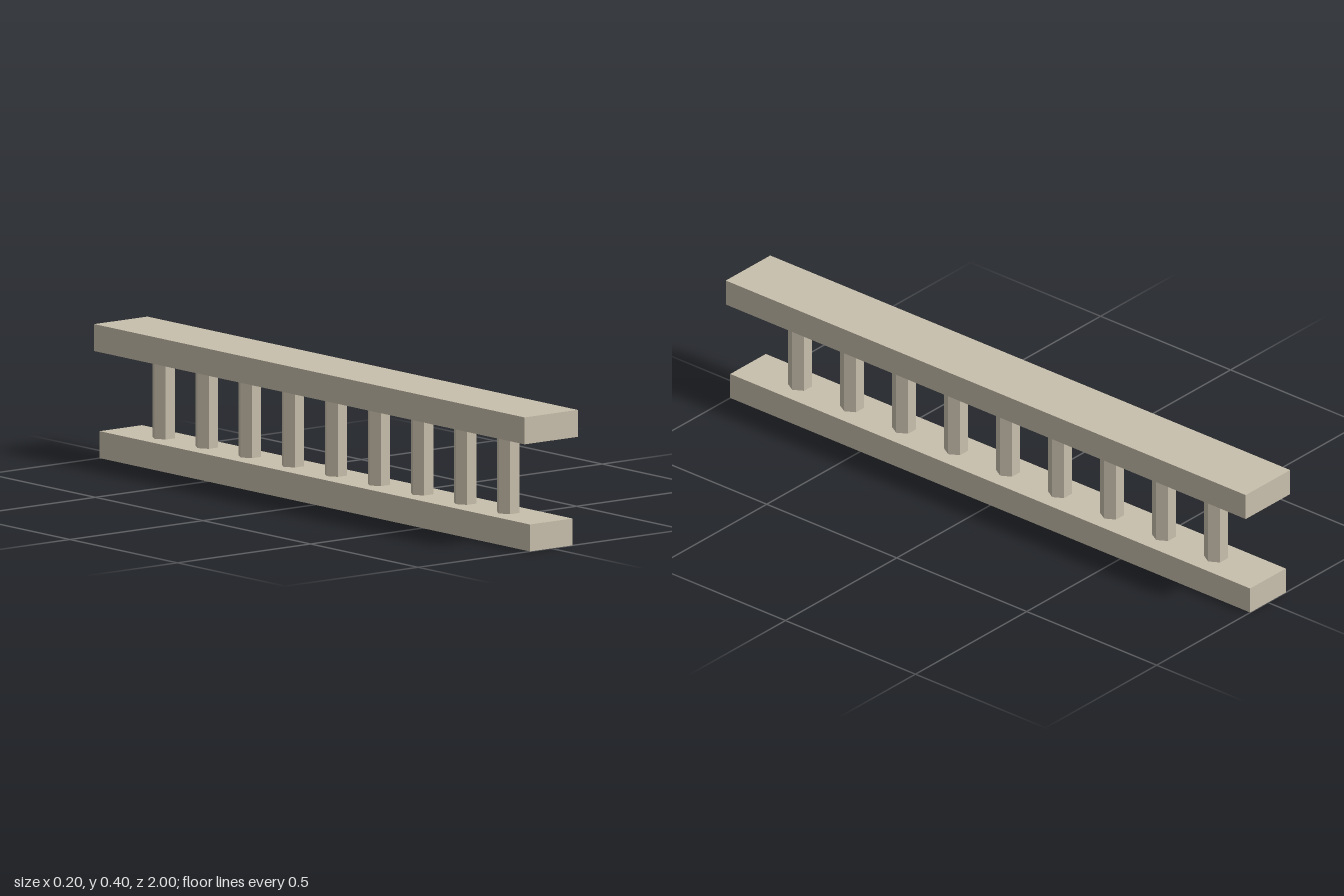
import * as THREE from 'three';

export function createModel() {
  const group = new THREE.Group();
  const stone = new THREE.MeshStandardMaterial({ color: 0xc8bfac, flatShading: true });

  const add = (name, geometry, y, z = 0) => {
    const mesh = new THREE.Mesh(geometry, stone);
    mesh.name = name;
    mesh.position.set(0, y, z);
    group.add(mesh);
  };

  // Long base and wider handrail
  const railHeight = 0.08;
  add('baseRail', new THREE.BoxGeometry(0.16, railHeight, 2), 0.04);
  add('handrail', new THREE.BoxGeometry(0.2, railHeight, 2), 0.36);

  // Nine hexagonal balusters, flat sides towards front and back
  const baluster = new THREE.CylinderGeometry(0.035, 0.035, 0.24, 6, 1, false, Math.PI / 6);
  for (let i = 0; i < 9; i++) {
    add(`baluster${i + 1}`, baluster, 0.2, (i - 4) * 0.2);
  }

  return group;
}
